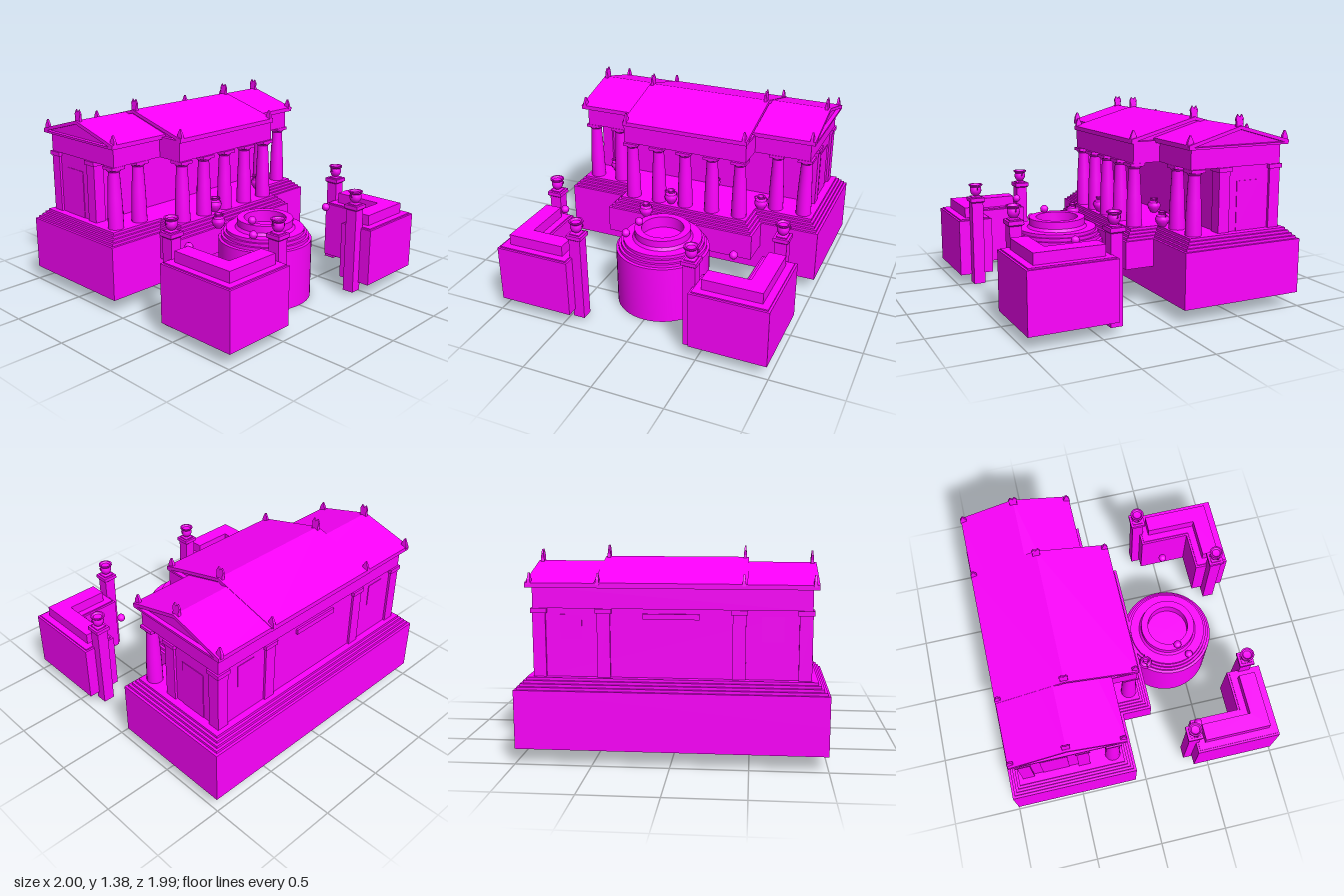
import * as THREE from 'three';
import { toCreasedNormals } from 'three/addons/utils/BufferGeometryUtils.js';

const mat = new THREE.MeshStandardMaterial({ color: 0xff00ff, side: THREE.DoubleSide });

function add(parent, name, geo, x = 0, y = 0, z = 0) {
  const m = new THREE.Mesh(geo, mat);
  m.name = name;
  m.position.set(x, y, z);
  parent.add(m);
  return m;
}

function box(parent, name, x0, x1, y0, y1, z0, z1) {
  return add(parent, name, new THREE.BoxGeometry(x1 - x0, y1 - y0, z1 - z0),
    (x0 + x1) / 2, (y0 + y1) / 2, (z0 + z1) / 2);
}

const rect = (x0, x1, z0, z1) => [[x0, z0], [x1, z0], [x1, z1], [x0, z1]];

// T-shaped plan: wide rear block with a narrower front projection
const tee = (x, z0, z1, px, pz) =>
  [[-x, z0], [x, z0], [x, z1], [px, z1], [px, pz], [-px, pz], [-px, z1], [-x, z1]];

// Moves every side of a right-angled plan inwards
function inset(poly, d) {
  const n = poly.length;
  const normal = (a, b) => {
    const l = Math.hypot(b[0] - a[0], b[1] - a[1]);
    return [-(b[1] - a[1]) / l, (b[0] - a[0]) / l];
  };
  return poly.map((p, i) => {
    const u = normal(poly[(i + n - 1) % n], p), v = normal(p, poly[(i + 1) % n]);
    return [p[0] + d * (u[0] + v[0]), p[1] + d * (u[1] + v[1])];
  });
}

const planShape = poly => new THREE.Shape(poly.map(([x, z]) => new THREE.Vector2(x, -z)));

// Open-bottomed stepped shell; levels are [inset, height] pairs
function terrace(parent, name, poly, levels, capped = true) {
  const group = new THREE.Group();
  group.name = name;
  const pos = [];
  const loops = levels.map(([d, y]) => inset(poly, d).map(([x, z]) => [x, y, z]));
  for (let k = 0; k < loops.length - 1; k++) {
    for (let i = 0; i < poly.length; i++) {
      const j = (i + 1) % poly.length;
      const a = loops[k][i], b = loops[k][j], c = loops[k + 1][j], d = loops[k + 1][i];
      pos.push(...a, ...c, ...b, ...a, ...d, ...c);
    }
  }
  const geo = new THREE.BufferGeometry();
  geo.setAttribute('position', new THREE.Float32BufferAttribute(pos, 3));
  geo.computeVertexNormals();
  add(group, name + 'Walls', geo);
  if (capped) {
    const [d, y] = levels[levels.length - 1];
    add(group, name + 'Top', new THREE.ShapeGeometry(planShape(inset(poly, d))).rotateX(-Math.PI / 2), 0, y);
  }
  parent.add(group);
}

function slab(parent, name, poly, y0, y1) {
  const geo = new THREE.ExtrudeGeometry(planShape(poly), { depth: y1 - y0, bevelEnabled: false });
  return add(parent, name, geo.rotateX(-Math.PI / 2), 0, y0);
}

// Extrudes a (z, y) profile across the width, centred on x
function across(parent, name, profile, width) {
  const shape = new THREE.Shape(profile.map(([z, y]) => new THREE.Vector2(-z, y)));
  const geo = new THREE.ExtrudeGeometry(shape, { depth: width, bevelEnabled: false });
  return add(parent, name, geo.rotateY(Math.PI / 2).translate(-width / 2, 0, 0));
}

function lathe(points, segments) {
  const geo = new THREE.LatheGeometry(points.map(p => new THREE.Vector2(...p)), segments);
  return toCreasedNormals(geo, 0.6);
}

const columnGeo = lathe([[0.056, 0], [0.054, 0.1], [0.05, 0.22], [0.04, 0.4], [0.04, 0.405],
  [0.048, 0.412], [0.054, 0.425]], 20);
const potGeo = lathe([[0, 0], [0.024, 0], [0.044, 0.03], [0.05, 0.052], [0.042, 0.075],
  [0.022, 0.086], [0.032, 0.105], [0.022, 0.105], [0.015, 0.08]], 12);
const urnGeo = lathe([[0, 0], [0.035, 0], [0.032, 0.01], [0.02, 0.016], [0.034, 0.03], [0.042, 0.05],
  [0.041, 0.07], [0.038, 0.08], [0.05, 0.092], [0.05, 0.1], [0.04, 0.1], [0.03, 0.088], [0, 0.085]], 16);
const handleGeo = new THREE.TorusGeometry(0.013, 0.0035, 5, 10);

// Pot or urn with a pair of ring handles
function vessel(parent, name, geo, x, y, z, handleX, handleY) {
  add(parent, name, geo, x, y, z);
  for (const s of [-1, 1]) add(parent, name + 'Handle', handleGeo, x + s * handleX, y + handleY, z);
}

function column(parent, x, z) {
  add(parent, 'column', columnGeo, x, 0.555, z);
  box(parent, 'columnCapital', x - 0.054, x + 0.054, 0.978, 1, z - 0.054, z + 0.054);
}

function pilaster(parent, x, z) {
  box(parent, 'pilaster', x - 0.042, x + 0.042, 0.555, 0.97, z - 0.042, z + 0.042);
  box(parent, 'pilasterCapital', x - 0.052, x + 0.052, 0.97, 1, z - 0.052, z + 0.052);
}

// Leaf-shaped roof ornament, thinning upwards; ridge pieces have two tips
function ornament(parent, x, y, z, ridge) {
  const half = [[0.028, -0.02], [0.024, 0.015], [0.03, 0.045], [0.016, 0.075]];
  const profile = ridge
    ? [...half, [0, 0.055], ...half.slice().reverse().map(([a, b]) => [-a, b])]
    : [[0.024, -0.01], [0.02, 0.025], [0.004, 0.062], [-0.004, 0.062], [-0.02, 0.025], [-0.024, -0.01]];
  const m = across(parent, 'roofOrnament', profile, 0.024);
  const p = m.geometry.attributes.position;
  for (let i = 0; i < p.count; i++) p.setX(i, p.getX(i) * (1 - 9 * Math.max(0, p.getY(i))));
  m.geometry.computeVertexNormals();
  m.position.set(x, y, z);
}

// Gabled roof: sloping slab over a recessed pediment
function roof(parent, name, front, ridge, back, width) {
  const [fz, fy] = front, [rz, ry] = ridge, [bz, by] = back, t = 0.025;
  across(parent, name, [front, ridge, back, [bz, by - t], [rz, ry - t], [fz, fy - t]], width);
  across(parent, name + 'Pediment', [[fz - 0.02, 1.14], [fz - 0.02, fy - 0.015], [rz, ry - 0.015],
    [bz + 0.02, by - 0.015], [bz + 0.02, 1.14]], width - 0.06);
  box(parent, name + 'Cornice', -width / 2, width / 2, 1.135, 1.15, bz, fz);
}

export function createModel() {
  const model = new THREE.Group();
  model.name = 'temple';

  // Stepped hollow platform
  terrace(model, 'platformFoot', rect(-1, 1, -0.994, -0.085), [[0, 0.1], [0, 0.29]], false);
  const steps = [[0, 0.29], [0, 0.485]];
  for (let i = 1; i <= 4; i++) {
    steps.push([i * 0.018, 0.485 + (i - 1) * 0.018], [i * 0.018, 0.485 + i * 0.018]);
  }
  terrace(model, 'platform', tee(1, -0.994, -0.085, 0.573, 0.128), steps);

  // Hall with pilasters and shallow wall panels
  const hall = new THREE.Group();
  hall.name = 'hall';
  model.add(hall);
  box(hall, 'hallWall', -0.87, 0.87, 0.55, 1, -0.875, -0.42);
  for (const s of [-1, 1]) {
    pilaster(hall, s * 0.845, -0.443);
    pilaster(hall, s * 0.845, -0.848);
    pilaster(hall, s * 0.43, -0.848);
    box(hall, 'rearPanel', s * 0.64 - 0.07, s * 0.64 + 0.07, 0.8, 0.96, -0.879, -0.87);
    box(hall, 'sidePanel', s * 0.87 - 0.004, s * 0.87 + 0.004, 0.555, 0.9, -0.74, -0.55);
  }
  box(hall, 'rearLintel', -0.18, 0.18, 0.935, 0.97, -0.89, -0.87);

  // Columns: five on the projection, two on each wing
  const columns = new THREE.Group();
  columns.name = 'columns';
  model.add(columns);
  for (let i = -4; i <= 4; i++) column(columns, i * 0.212, Math.abs(i) <= 2 ? -0.01 : -0.23);

  // Entablature and roofs
  slab(model, 'entablature', tee(0.885, -0.887, -0.18, 0.475, 0.025), 1, 1.14);
  roof(model, 'wingRoof', [-0.145, 1.165], [-0.54, 1.275], [-0.93, 1.165], 1.84);
  roof(model, 'porticoRoof', [0.04, 1.165], [-0.46, 1.3], [-0.933, 1.168], 0.96);
  for (const s of [-1, 1]) {
    for (const [x, y, z] of [[0.893, 1.165, -0.165], [0.893, 1.275, -0.54], [0.893, 1.165, -0.912],
      [0.457, 1.165, 0.017], [0.457, 1.3, -0.46], [0.457, 1.165, -0.912]]) {
      ornament(model, s * x, y, z, y > 1.2);
    }
  }

  // Round well, hollow below
  add(model, 'well', lathe([[0.333, 0], [0.333, 0.43], [0.315, 0.435], [0.315, 0.458], [0.297, 0.458],
    [0.297, 0.482], [0.28, 0.482], [0.28, 0.505], [0.215, 0.505], [0.2, 0.525], [0.2, 0.575],
    [0.15, 0.575], [0.15, 0.49], [0, 0.49]], 48), 0, 0, 0.395);

  // Angled corner walls with urn pillars, mirrored
  const ell = [[0.735, 0.38], [0.985, 0.38], [0.985, 0.993], [0.442, 0.993], [0.442, 0.743], [0.735, 0.743]];
  for (const s of [1, -1]) {
    const corner = new THREE.Group();
    corner.name = s > 0 ? 'leftCornerWall' : 'rightCornerWall';
    corner.scale.x = s;
    model.add(corner);
    terrace(corner, 'cornerWall', ell, [[0, 0.09], [0, 0.503], [0.015, 0.503], [0.015, 0.512],
      [0.065, 0.512], [0.065, 0.588]]);
    for (const [x, z] of [[0.865, 0.362], [0.416, 0.869]]) {
      terrace(corner, 'pillar', rect(x - 0.042, x + 0.042, z - 0.042, z + 0.042), [[0, 0.03], [0, 0.645],
        [-0.012, 0.655], [-0.012, 0.682], [0.005, 0.682], [0.005, 0.69]]);
      vessel(corner, 'urn', urnGeo, x, 0.68, z, 0.04, 0.075);
    }
  }

  // Pots on the platform and loose round pieces around the well
  for (const [x, z] of [[-0.74, -0.35], [-0.11, 0], [0.1, -0.35], [0.54, -0.17]]) {
    vessel(model, 'pot', potGeo, x, 0.557, z, 0.036, 0.086);
  }
  vessel(model, 'largePot', potGeo, -0.24, 0.5, 0.165, 0.036, 0.086);
  for (const [x, y, z] of [[-0.24, 0.53, 0.5], [-0.17, 0.6, 0.425], [-0.775, 0.57, 0.425], [0.57, 0.54, 0.5]]) {
    add(model, 'ball', new THREE.SphereGeometry(0.03, 10, 6), x, y, z);
  }
  return model;
}
